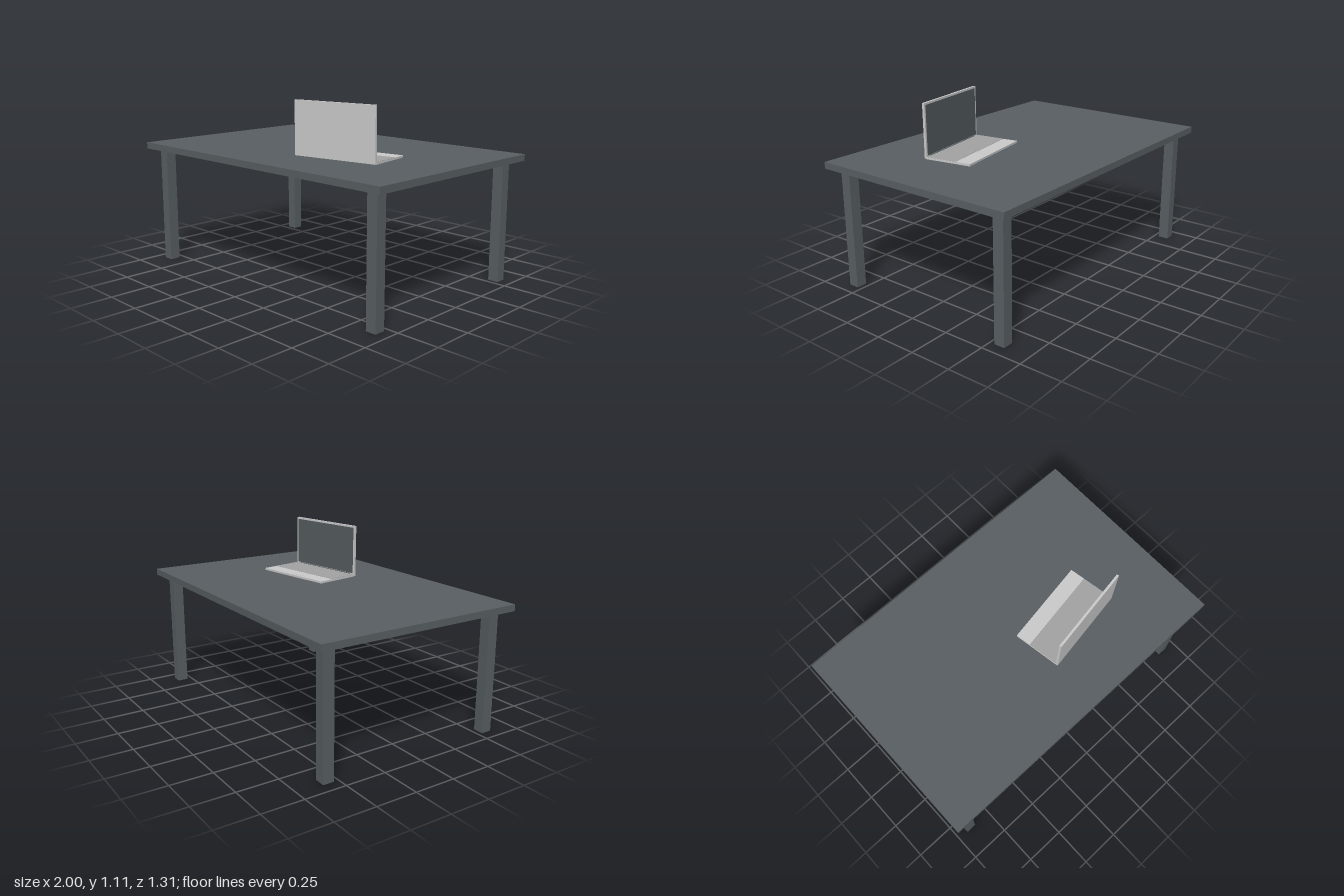
import * as THREE from 'three';

export function createModel() {
  const mat = (name, color) => {
    const m = new THREE.MeshStandardMaterial({ color });
    m.name = name;
    return m;
  };
  const slate = mat('slate', 0x596063);
  const silver = mat('silver', 0xcccccc);
  const grey = mat('keyboard grey', 0xa4a4a4);
  const glass = mat('screen glass', 0x565d60);

  const box = (name, parent, material, size, pos) => {
    const mesh = new THREE.Mesh(new THREE.BoxGeometry(...size), material);
    mesh.name = name;
    mesh.position.set(...pos);
    parent.add(mesh);
    return mesh;
  };

  const model = new THREE.Group();
  model.name = 'deskWithLaptop';

  // Table: slab top on four square legs
  const table = new THREE.Group();
  table.name = 'table';
  model.add(table);
  box('tableTop', table, slate, [2, 0.04, 1.31], [0, 0.76, 0]);
  for (const x of [-1, 1]) {
    for (const z of [-1, 1]) {
      box('tableLeg', table, slate, [0.066, 0.74, 0.066], [x * 0.9, 0.37, z * 0.563]);
    }
  }

  // Laptop: turned slightly, its open side facing the back of the table
  const laptop = new THREE.Group();
  laptop.name = 'laptop';
  laptop.position.set(0.315, 0.78, 0.137);
  laptop.rotation.y = 0.163;
  model.add(laptop);
  const W = 0.55;
  box('laptopBase', laptop, silver, [W, 0.013, 0.29], [0, 0.0065, -0.0075]);
  box('keyboardDeck', laptop, grey, [W - 0.002, 0.002, 0.193], [0, 0.0135, 0.0405]);
  box('trackpad', laptop, silver, [0.14, 0.001, 0.075], [0, 0.0132, -0.103]);

  // Lid: upright panel with the display on its inner face
  const lid = new THREE.Group();
  lid.name = 'lid';
  lid.position.set(0, 0.002, 0.145);
  lid.rotation.x = 0.01;
  laptop.add(lid);
  box('lidShell', lid, silver, [W, 0.326, 0.014], [0, 0.163, 0]);
  box('display', lid, glass, [W - 0.024, 0.296, 0.002], [0, 0.166, -0.0072]);
  box('hinge', lid, glass, [W - 0.07, 0.005, 0.004], [0, 0.013, -0.0085]);

  return model;
}
